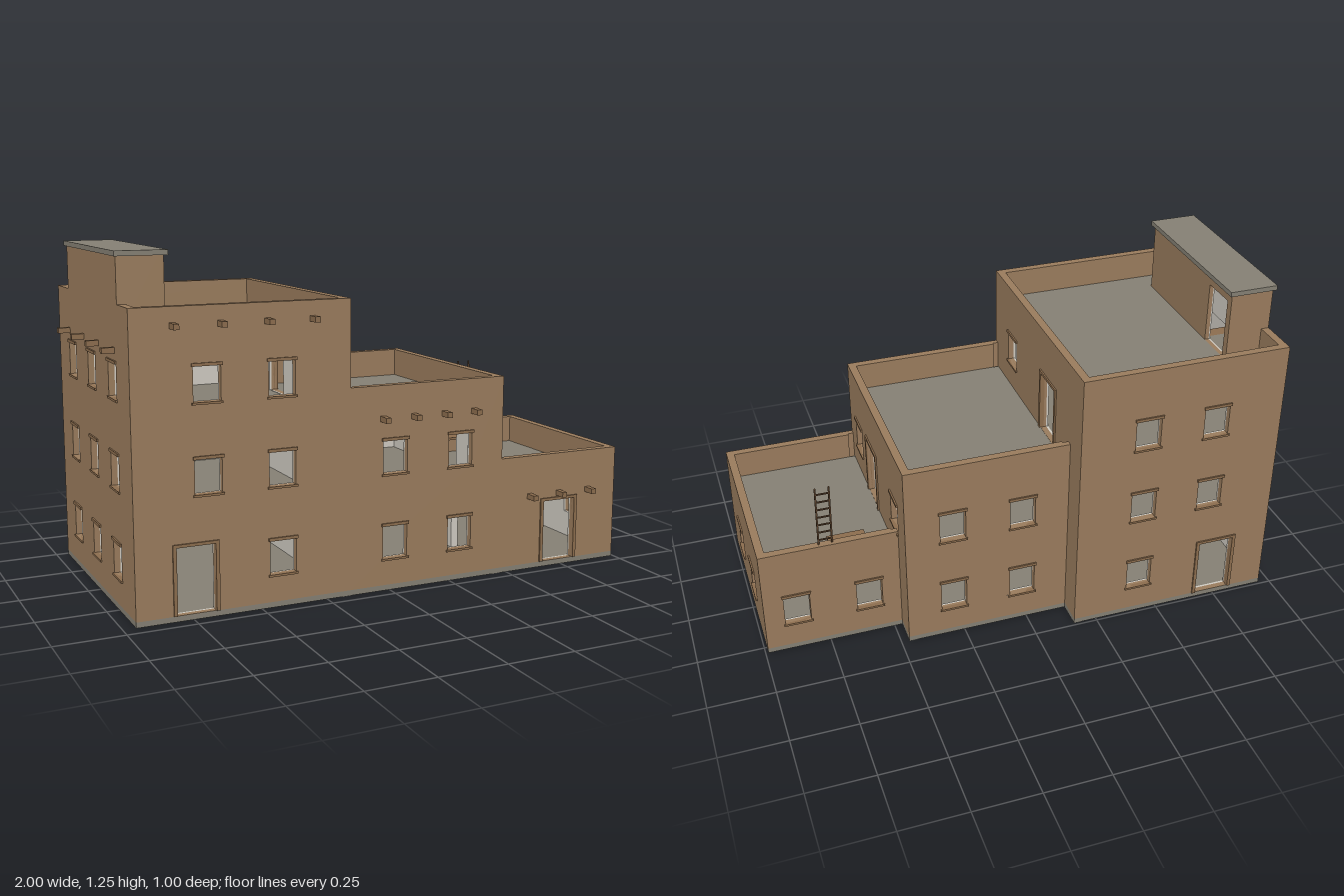
import * as THREE from 'three';

const paint = (name, color) => Object.assign(new THREE.MeshStandardMaterial({ color }), { name });
const adobe = paint('adobe brown', 0x9a7c5d);
const wood = paint('wood brown', 0x8c6d4e);
const darkWood = paint('dark wood', 0x5e452f);
const plaster = paint('pale plaster', 0xcfcbc2);
const stone = paint('roof grey', 0x858074);

const ZF = 0.455, T = 0.03, SKIN = 0.022;           // front face, wall and outer skin thickness
const level = k => 0.02 + 0.315 * k;                // floor heights

// openings: c = centre along the wall, k = storey
const win = (c, k) => ({ c, k, w: 0.098, y0: level(k) + 0.1, y1: level(k) + 0.221 });
const door = (c, k, w = 0.14) => ({ c, k, w, y0: level(k) + 0.001, y1: level(k) + 0.24, door: true });

export function createModel() {
  const model = new THREE.Group();
  model.name = 'terraced house';

  function box(parent, name, mat, x0, x1, y0, y1, z0, z1) {
    const m = new THREE.Mesh(new THREE.BoxGeometry(x1 - x0, y1 - y0, z1 - z0), mat);
    m.position.set((x0 + x1) / 2, (y0 + y1) / 2, (z0 + z1) / 2);
    m.name = name;
    parent.add(m);
    return m;
  }

  // upright slab with openings; axis is the direction it runs in, p0..p1 its thickness
  function panel(parent, name, mat, axis, a, b, y0, y1, p0, p1, holes = []) {
    const s = new THREE.Shape([[a, y0], [b, y0], [b, y1], [a, y1]].map(p => new THREE.Vector2(...p)));
    for (const h of holes) {
      const l = h.c - h.w / 2, r = h.c + h.w / 2;
      if (l < a || r > b || h.y0 < y0 || h.y1 > y1) continue;
      s.holes.push(new THREE.Path([[l, h.y0], [l, h.y1], [r, h.y1], [r, h.y0]].map(p => new THREE.Vector2(...p))));
    }
    const m = new THREE.Mesh(new THREE.ExtrudeGeometry(s, { depth: p1 - p0, bevelEnabled: false }), mat);
    if (axis === 'x') m.position.z = p0;
    else { m.rotation.y = -Math.PI / 2; m.position.x = p1; }
    m.name = name;
    parent.add(m);
  }

  // lintel, sill and door jambs standing slightly proud of the wall at p, facing dir
  function trim(parent, axis, p, dir, holes) {
    const q0 = Math.min(p - dir * 0.012, p + dir * 0.006), q1 = Math.max(p - dir * 0.012, p + dir * 0.006);
    const bar = (name, a, b, y0, y1) => axis === 'x'
      ? box(parent, name, wood, a, b, y0, y1, q0, q1)
      : box(parent, name, wood, q0, q1, y0, y1, a, b);
    for (const h of holes) {
      const l = h.c - h.w / 2, r = h.c + h.w / 2, o = h.door ? 0.013 : 0.006;
      bar('lintel', l - o, r + o, h.y1, h.y1 + 0.011);
      if (!h.door) bar('sill', l - o, r + o, h.y0 - 0.008, h.y0);
      else {
        bar('doorJamb', l - o, l, h.y0, h.y1);
        bar('doorJamb', r, r + o, h.y0, h.y1);
      }
    }
  }

  // outer skin, plaster lining and inner parapet of one wall
  function wall(g, name, axis, a, b, top, deck, p, dir, holes, bottom = 0.02) {
    const band = (d0, d1) => [p - dir * d0, p - dir * d1].sort((m, n) => m - n);
    const e = axis === 'x' ? 0 : SKIN, i = axis === 'x' ? SKIN : T;
    panel(g, name, adobe, axis, a + e, b - e, bottom, top, ...band(0, SKIN), holes);
    panel(g, name + 'Lining', plaster, axis, a + i, b - i, bottom, deck, ...band(SKIN, T), holes);
    panel(g, name + 'Parapet', adobe, axis, a + i, b - i, deck, top, ...band(SKIN, T));
    trim(g, axis, p, dir, holes);
  }

  const rows = (cs, n) => cs.flatMap(c => Array.from({ length: n }, (_, k) => win(c, k)));
  const blocks = [
    { name: 'tallBlock', x0: -0.955, x1: -0.16, z0: -0.49, top: 1.073, n: 3, next: { z0: -0.387, n: 2 },
      front: [door(-0.74, 0), win(-0.69, 1), win(-0.69, 2), ...rows([-0.42], 3)],
      back: [door(-0.74, 0), win(-0.69, 1), win(-0.69, 2), ...rows([-0.42], 3)],
      east: [win(0.252, 2), door(-0.152, 2)], west: rows([0.25, -0.02, -0.29], 3),
      beams: [-0.807, -0.64, -0.472, -0.305], beamY: 1.01 },
    { name: 'middleBlock', x0: -0.16, x1: 0.47, z0: -0.387, top: 0.758, n: 2, next: { z0: -0.283, n: 1 },
      front: rows([0.019, 0.289], 2), back: rows([0.019, 0.289], 2),
      east: [win(0.305, 1), door(0.098, 1), win(-0.237, 1)],
      beams: [-0.032, 0.092, 0.218, 0.342], beamY: 0.638 },
    { name: 'lowBlock', x0: 0.47, x1: 0.99, z0: -0.283, top: 0.443, n: 1,
      front: [door(0.73, 0)], back: rows([0.59, 0.865], 1), east: rows([0.22, -0.05], 1),
      beams: [0.597, 0.728, 0.862], beamY: 0.287 },
  ];
  const stairs = { x0: -0.925, x1: -0.812, z0: -0.14, z1: 0.31 };

  for (const b of blocks) {
    const g = new THREE.Group();
    g.name = b.name;
    model.add(g);
    const deck = level(b.n);
    box(g, 'baseSlab', stone, b.x0, b.x1, 0, 0.02, b.z0, ZF);
    wall(g, 'frontWall', 'x', b.x0, b.x1, b.top, deck, ZF, 1, b.front);
    wall(g, 'backWall', 'x', b.x0, b.x1, b.top, deck, b.z0, -1, b.back);
    if (b.west) wall(g, 'westWall', 'z', b.z0, ZF, b.top, deck, b.x0, -1, b.west);

    // east wall: outside above the next roof, plaster partition below it
    const split = b.next ? level(b.next.n) : 0.02;
    wall(g, 'eastWall', 'z', b.z0, ZF, b.top, deck, b.x1, 1, b.east, split);
    if (b.next) {
      const passages = Array.from({ length: b.next.n }, (_, k) => door(0.203, k, 0.126));
      panel(g, 'partition', plaster, 'z', b.next.z0 + SKIN, ZF - SKIN, 0.02, split, b.x1 - T, b.x1, passages);
      panel(g, 'eastReturn', adobe, 'z', b.z0 + SKIN, b.next.z0 + SKIN, 0.02, split, b.x1 - SKIN, b.x1);
      panel(g, 'eastReturnLining', plaster, 'z', b.z0 + SKIN, b.next.z0 + SKIN, 0.02, split, b.x1 - T, b.x1 - SKIN);
      box(g, 'partitionFoot', plaster, b.x1 - T, b.x1, -0.001, 0.001, b.z0, ZF);
    }

    // floors and roof with plaster ceilings, open over the stairs
    const xa = b.west ? b.x0 + T : b.x0, xb = b.x1 - T, za = b.z0 + T, zb = ZF - T;
    for (let k = 1; k <= b.n; k++) {
      const parts = b.west
        ? [[stairs.x1, xb, za, zb], [xa, stairs.x1, za, stairs.z0], [xa, stairs.x1, stairs.z1, zb]]
        : [[xa, xb, za, zb]];
      for (const [x0, x1, z0, z1] of parts) {
        box(g, k === b.n ? 'roofDeck' : 'floor', stone, x0, x1, level(k) - 0.01, level(k), z0, z1);
        box(g, 'ceiling', plaster, x0, x1, level(k) - 0.02, level(k) - 0.01, z0, z1);
      }
    }

    // projecting roof beams
    for (const x of b.beams) box(g, 'roofBeam', wood, x - 0.01, x + 0.01, b.beamY - 0.01, b.beamY + 0.01, ZF - 0.01, 0.5);
  }
  for (const z of [-0.33, -0.125, 0.077, 0.28])
    box(model, 'sideBeam', wood, -1, -0.945, 0.907, 0.927, z - 0.01, z + 0.01);

  // one stair flight per storey with a handrail
  const steps = 9, run = (stairs.z1 - stairs.z0) / steps;
  for (let k = 0; k < 3; k++) {
    const flight = new THREE.Group();
    flight.name = 'stairFlight';
    model.add(flight);
    for (let i = 0; i < steps; i++) {
      const y = level(k) + 0.035 * (i + 1), z = stairs.z1 - run * i;
      box(flight, 'step', wood, stairs.x0, stairs.x1, y - 0.035, y, z - run, z);
    }
    const rail = box(flight, 'handrail', darkWood, -0.812, -0.804, -0.004, 0.004, -0.27, 0.27);
    rail.position.y = level(k) + 0.265;
    rail.position.z = 0.07;
    rail.rotation.x = Math.atan(0.7);
  }

  // stair house on the top roof
  const hut = new THREE.Group();
  hut.name = 'stairHouse';
  model.add(hut);
  const hx0 = -0.955, hx1 = -0.79, hz = 0.33, hy0 = level(3), hy1 = 1.232;
  const exit = [{ c: -0.23, w: 0.14, y0: hy0 + 0.001, y1: 1.195, door: true }];
  panel(hut, 'eastWall', adobe, 'z', -hz, hz, hy0, hy1, hx1 - 0.016, hx1, exit);
  panel(hut, 'eastLining', plaster, 'z', -hz + 0.02, hz - 0.02, hy0, hy1, hx1 - 0.021, hx1 - 0.016, exit);
  panel(hut, 'westWall', adobe, 'z', -hz, hz, 1.07, hy1, hx0, hx0 + T);
  panel(hut, 'westLining', plaster, 'z', -hz + 0.02, hz - 0.02, hy0, hy1, hx0 + T, hx0 + T + 0.004);
  for (const s of [-1, 1]) {
    const band = (d0, d1) => [s * (hz - d0), s * (hz - d1)].sort((m, n) => m - n);
    box(hut, 'endWall', adobe, hx0 + 0.001, hx1 - 0.016, hy0, hy1, ...band(0, 0.02));
    box(hut, 'endLining', plaster, hx0 + T, hx1 - 0.016, hy0, hy1, ...band(0.02, 0.025));
  }
  box(hut, 'ceiling', plaster, hx0 + 0.02, hx1 - 0.016, hy1 - 0.006, hy1, -hz + 0.02, hz - 0.02);
  box(hut, 'roofSlab', stone, -0.962, -0.777, hy1, 1.25, -0.345, 0.34);

  // hatch and ladder on the low roof
  box(model, 'roofHatch', adobe, 0.58, 0.71, level(1), level(1) + 0.05, -0.215, -0.17);
  box(model, 'hatchLid', wood, 0.574, 0.716, level(1) + 0.05, level(1) + 0.06, -0.221, -0.164);
  const ladder = new THREE.Group();
  ladder.name = 'ladder';
  ladder.position.set(0.738, level(1), -0.258);
  ladder.rotation.x = -Math.atan(0.08);
  for (const s of [-1, 1]) box(ladder, 'ladderRail', darkWood, s * 0.025 - 0.003, s * 0.025 + 0.003, 0, 0.366, -0.003, 0.003);
  for (let i = 0; i < 10; i++) box(ladder, 'rung', darkWood, -0.025, 0.025, 0.021 + i * 0.035, 0.026 + i * 0.035, -0.0025, 0.0025);
  model.add(ladder);

  return model;
}
